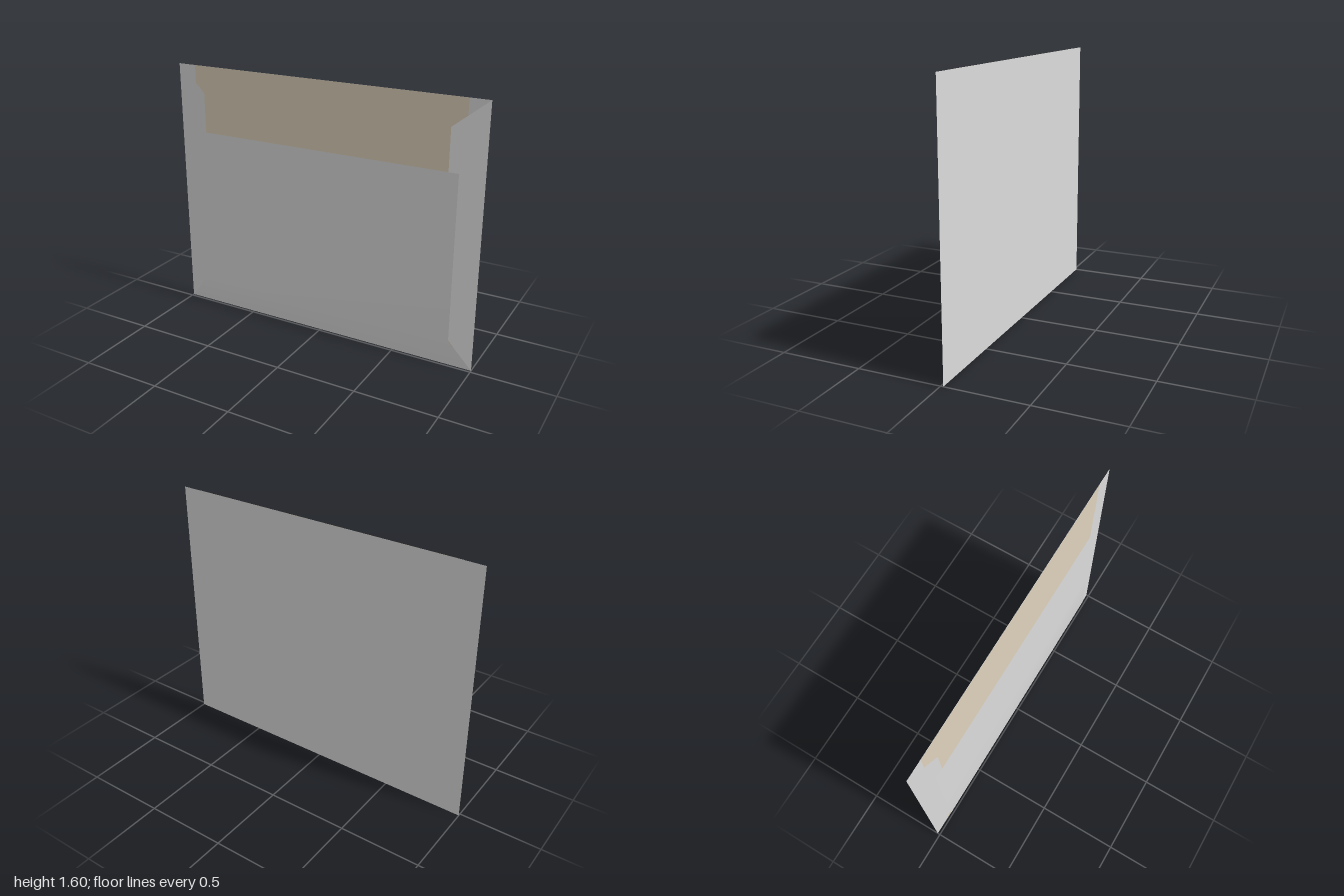
import * as THREE from 'three';

const paper = new THREE.MeshStandardMaterial({ name: 'grey paper', color: 0xdcdcdc, side: THREE.DoubleSide });
const lining = new THREE.MeshStandardMaterial({ name: 'cream lining', color: 0xdfd2bc, side: THREE.DoubleSide });

// Sheet lofted through rows of points, facing +z when rows go up and points go right
function sheet(name, rows, material) {
  const n = rows[0].length;
  const index = [];
  for (let r = 0; r < rows.length - 1; r++) {
    for (let c = 0; c < n - 1; c++) {
      const a = r * n + c, b = a + 1, d = a + n, e = d + 1;
      index.push(a, b, e, a, e, d);
    }
  }
  const geometry = new THREE.BufferGeometry();
  geometry.setAttribute('position', new THREE.Float32BufferAttribute(rows.flat(2), 3));
  geometry.setIndex(index);
  geometry.computeVertexNormals();
  const mesh = new THREE.Mesh(geometry, material);
  mesh.name = name;
  return mesh;
}

export function createModel() {
  const envelope = new THREE.Group();
  envelope.name = 'envelope';
  const H = 1.6, BACK = -0.016;

  // Full-size back panel
  envelope.add(sheet('backPanel', [
    [[-1, 0, BACK], [1, 0, BACK]],
    [[-1, H, BACK], [1, H, BACK]],
  ], paper));

  // Lining on the inside of the back panel
  envelope.add(sheet('lining', [
    [[-0.88, 0.02, BACK + 0.002], [0.88, 0.02, BACK + 0.002]],
    [[-0.88, H, BACK + 0.002], [0.88, H, BACK + 0.002]],
  ], lining));

  // Folded side flaps, mirrored
  for (const s of [-1, 1]) {
    const outer = y => [s, y, BACK];
    const inner = y => [s * 0.8, y, 0.013];
    const row = (yOuter, yInner) => s > 0
      ? [inner(yInner), outer(yOuter)]
      : [outer(yOuter), inner(yInner)];
    envelope.add(sheet(s > 0 ? 'leftFlap' : 'rightFlap', [row(0, 0.24), row(H, 1.44)], paper));
  }

  // Bottom flap folded up over the side flaps: half width, y, z
  const profile = [[1, 0, BACK], [0.86, 0.17, 0.0145], [0.86, 0.6, 0.016], [0.86, 1.19, 0.0145]];
  envelope.add(sheet('frontFlap', profile.map(([w, y, z]) => [[-w, y, z], [w, y, z]]), paper));

  return envelope;
}
